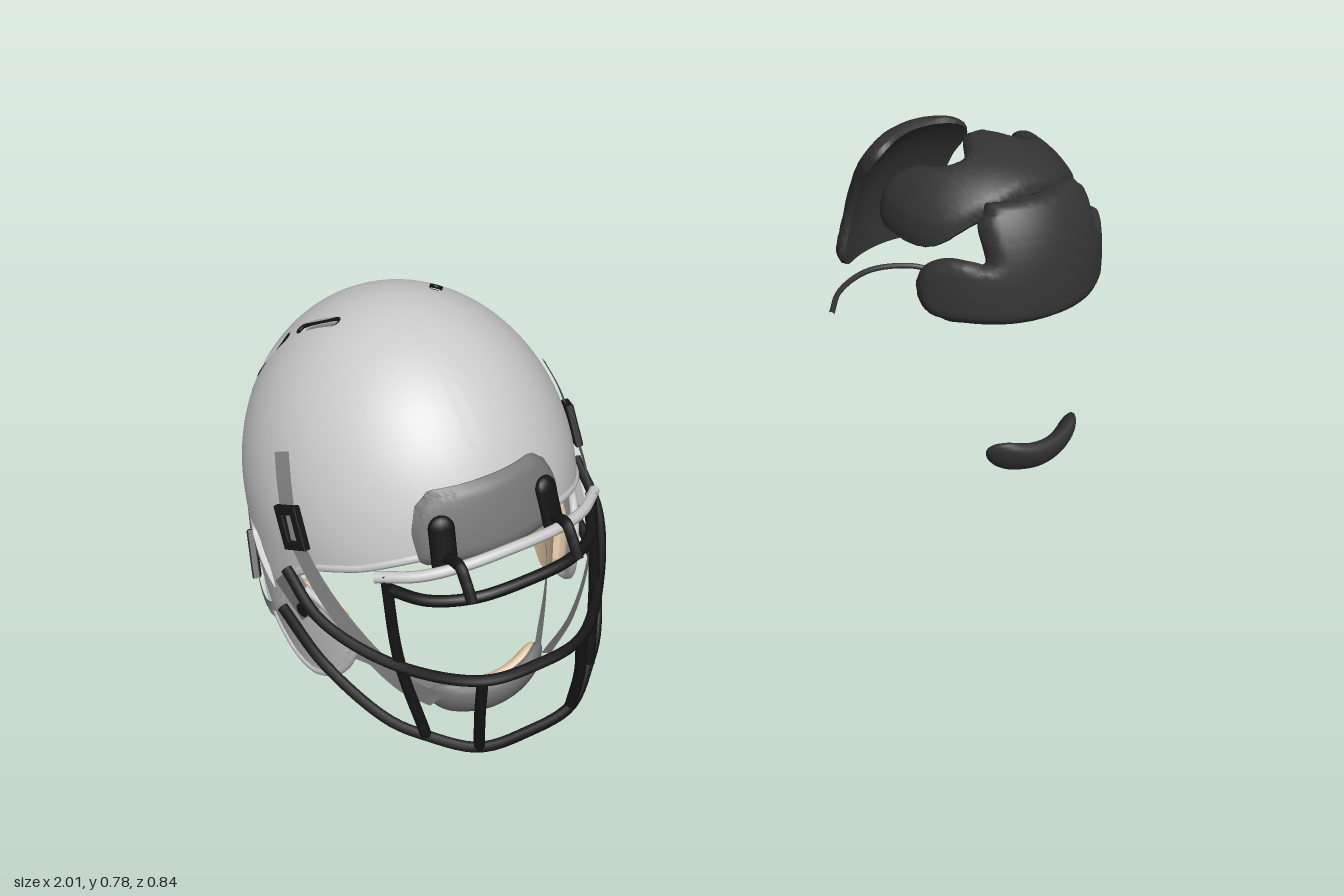
import * as THREE from 'three';
import { toCreasedNormals } from 'three/addons/utils/BufferGeometryUtils.js';

const V = (x, y, z) => new THREE.Vector3(x, y, z);
const clamp = THREE.MathUtils.clamp;
const mat = (color, side = THREE.FrontSide) => new THREE.MeshStandardMaterial({ color, side });
const GREY = mat(0xcccccc), SHADE = mat(0x777777), STRAP = mat(0x888888, THREE.DoubleSide);
const BLACK = mat(0x151515), FOAM = mat(0x333333), TAN = mat(0xeed3b0), TRIM = mat(0xd8d8d8);

function add(group, name, geometry, material) {
  const mesh = new THREE.Mesh(geometry, material);
  mesh.name = name;
  group.add(mesh);
  return mesh;
}

// Dome: half ellipsoid above y = 0.4 (e above 2 makes it squarer), gently narrowing wall below
const CY = 0.4, CZ = -0.062;
const SHELL = { rx: 0.312, rz: 0.355, h: 0.38, e: 2 };
const sized = (s) => ({ rx: SHELL.rx * s, rz: SHELL.rz * s, h: SHELL.h * s, e: 2 });
const widthAt = (y, d) => y > CY
  ? Math.max(0, 1 - ((y - CY) / d.h) ** d.e) ** (1 / d.e)
  : 1 - 0.09 * ((CY - y) / 0.33) ** 2;
function domePoint(a, v, d) {
  const y = v < 0.6 ? CY + d.h * Math.cos(v / 0.6 * Math.PI / 2) : CY - 0.34 * (v - 0.6) / 0.4;
  const k = v === 0 ? 0 : widthAt(y, d);
  return V(d.rx * k * Math.sin(a), y, CZ + d.rz * k * Math.cos(a));
}
// Point of the shell's +x side that lies at a given z and y
function onShell(z, y, off = 0) {
  const k = widthAt(y, SHELL), c = clamp((z - CZ) / (SHELL.rz * k), -1, 1);
  const s = Math.sqrt(1 - c * c);
  return V((SHELL.rx * k + off) * s, y, CZ + (SHELL.rz * k + off) * c);
}
const outward = (p) => V(p.x / SHELL.rx ** 2, Math.max(0, p.y - CY) / SHELL.h ** 2, (p.z - CZ) / SHELL.rz ** 2).normalize();

// Signed distance to a polygon, positive inside
function inside(poly, x, y) {
  let d = Infinity, hit = false;
  for (let i = 0, j = poly.length - 1; i < poly.length; j = i++) {
    const [ax, ay] = poly[i], [bx, by] = poly[j], ex = bx - ax, ey = by - ay;
    const t = clamp(((x - ax) * ex + (y - ay) * ey) / (ex * ex + ey * ey || 1), 0, 1);
    d = Math.min(d, Math.hypot(x - ax - ex * t, y - ay - ey * t));
    if ((ay > y) !== (by > y) && x < ex * (y - ay) / ey + ax) hit = !hit;
  }
  return hit ? d : -d;
}
const smooth = (pts, n = 40) => new THREE.SplineCurve(pts.map(([a, b]) => new THREE.Vector2(a, b)))
  .getPoints(n).map((p) => [p.x, p.y]);

// Thick piece of the dome, kept where field > 0; puff rounds its edge
function domePatch(field, outer, inner, puff = 0, nu = 144, nv = 80) {
  const grid = [], out = [];
  for (let j = 0; j <= nv; j++) for (let i = 0; i <= nu; i++) {
    const a = i / nu * Math.PI * 2, o = domePoint(a, j / nv, outer), n = domePoint(a, j / nv, inner);
    const f = field(o);
    if (puff) o.lerp(n, 0.75 * (1 - Math.sqrt(clamp(f / puff, 0, 1))));
    grid.push({ o, n, f });
  }
  const tri = (a, b, c) => out.push(...a.toArray(), ...b.toArray(), ...c.toArray());
  const clip = (t) => {
    const poly = [];
    let exit, entry;
    t.forEach((p, i) => {
      const q = t[(i + 1) % 3];
      if (p.f > 0) poly.push(p);
      if ((p.f > 0) === (q.f > 0)) return;
      const s = p.f / (p.f - q.f), m = { o: p.o.clone().lerp(q.o, s), n: p.n.clone().lerp(q.n, s) };
      poly.push(m);
      if (p.f > 0) exit = m; else entry = m;
    });
    for (let i = 2; i < poly.length; i++) {
      tri(poly[0].o, poly[i - 1].o, poly[i].o);
      tri(poly[0].n, poly[i].n, poly[i - 1].n);
    }
    if (exit) {
      tri(entry.o, exit.o, exit.n);
      tri(entry.o, exit.n, entry.n);
    }
  };
  for (let j = 0; j < nv; j++) for (let i = 0; i < nu; i++) {
    const [a, b, c, d] = [0, 1, nu + 1, nu + 2].map((k) => grid[j * (nu + 1) + i + k]);
    clip([a, c, d]);
    if (j) clip([a, d, b]);
  }
  const g = new THREE.BufferGeometry();
  g.setAttribute('position', new THREE.Float32BufferAttribute(out, 3));
  return toCreasedNormals(g, 0.7);
}
const onFront = (poly) => (p) => p.z < 0 ? -1 : inside(poly, Math.abs(p.x), p.y);
const onBack = (poly) => (p) => p.z > -0.1 ? -1 : inside(poly, Math.abs(p.x), p.y);

const tube = (pts, r, n = 40, closed = false) => new THREE.TubeGeometry(new THREE.CatmullRomCurve3(pts, closed), n, r, 8, closed);
// Bar mirrored across the middle; the last point lies at x = 0
const bar = (half, r = 0.011) => {
  const p = half.map((q) => V(...q));
  return tube([...p, ...p.slice(0, -1).reverse().map((q) => V(-q.x, q.y, q.z))], r, 64);
};
// Flat band that faces away from the middle of the head
function ribbon(pts, width) {
  const curve = new THREE.CatmullRomCurve3(pts), pos = [], idx = [], n = 32;
  for (let i = 0; i <= n; i++) {
    const p = curve.getPoint(i / n);
    const s = curve.getTangent(i / n).cross(outward(p)).normalize().multiplyScalar(width / 2);
    pos.push(...p.clone().add(s).toArray(), ...p.clone().sub(s).toArray());
    if (i) idx.push(2 * i - 2, 2 * i - 1, 2 * i, 2 * i, 2 * i - 1, 2 * i + 1);
  }
  const g = new THREE.BufferGeometry();
  g.setAttribute('position', new THREE.Float32BufferAttribute(pos, 3));
  g.setIndex(idx);
  g.computeVertexNormals();
  return g;
}
// Bean shape along x, its ends bent backwards and up
function bean(r, length, depth, bend) {
  const g = new THREE.CapsuleGeometry(r, length, 10, 20, 14).rotateZ(Math.PI / 2).scale(1, 1, depth);
  const p = g.attributes.position;
  for (let i = 0; i < p.count; i++) p.setZ(i, p.getZ(i) - bend * p.getX(i) ** 2);
  g.computeVertexNormals();
  return g.rotateX(0.5);
}
function frame(w, h, t, depth) {
  const rect = (P, a, b) => new P([[-a, -b], [a, -b], [a, b], [-a, b]].map(([x, y]) => new THREE.Vector2(x, y)));
  const s = rect(THREE.Shape, w / 2, h / 2);
  s.holes.push(rect(THREE.Path, w / 2 - t, h / 2 - t));
  return new THREE.ExtrudeGeometry(s, { depth, bevelEnabled: true, bevelSize: 0.003, bevelThickness: 0.003, bevelSegments: 2 });
}
function placed(group, name, geometry, material, p, roll = 0) {
  const m = add(group, name, geometry, material);
  m.position.copy(p);
  m.lookAt(p.clone().add(outward(p)));
  m.rotateZ(roll);
}

function buildHelmet() {
  const helmet = new THREE.Group();
  helmet.name = 'helmet';
  // Shell with face opening, ear holes and vents
  const edge = smooth([[0.3, 0.455], [0.25, 0.443], [0.18, 0.412], [0.1, 0.385], [0.04, 0.345], [0.035, 0.315], [0.09, 0.3],
    [0.135, 0.25], [0.14, 0.2], [0.1, 0.13], [0.04, 0.088], [0, 0.08], [-0.05, 0.092], [-0.12, 0.132], [-0.31, 0.188], [-0.42, 0.21]], 90);
  const open = [[0.6, 0.46], ...edge, [-0.6, 0.21], [-0.6, -0.3], [0.6, -0.3]];
  const ear = smooth([[-0.055, 0.243], [-0.058, 0.29], [-0.08, 0.34], [-0.12, 0.36], [-0.165, 0.35], [-0.183, 0.325], [-0.185, 0.3]], 24);
  const slots = [[[-0.1, 0.755], [-0.17, 0.718]], [[-0.205, 0.685], [-0.25, 0.605]], [[-0.272, 0.55], [-0.285, 0.46]]]
    .map((s) => s.map(([z, y]) => onShell(z, y)));
  const near = V();
  const shellField = ({ x, y, z }) => {
    const p = V(Math.abs(x), y, z);
    let f = Math.min(-inside(open, z, y), -inside(ear, z, y));
    for (const [a, b] of slots) f = Math.min(f, new THREE.Line3(a, b).closestPointToPoint(p, true, near).distanceTo(p) - 0.013);
    return f;
  };
  add(helmet, 'shell', domePatch(shellField, SHELL, sized(0.965), 0, 160, 100), GREY);
  // Bumpers and inner padding
  const brow = [[-0.1, 0.435], [0.15, 0.435], [0.155, 0.5], [0.14, 0.55], [0.11, 0.578], [-0.1, 0.582]];
  add(helmet, 'browBumper', domePatch(onFront(brow), sized(1.055), sized(0.99), 0.015), SHADE);
  const nape = [[-0.315, 0.188], [-0.335, 0.222], [-0.36, 0.268], [-0.385, 0.3], [-0.408, 0.325], [-0.6, 0.33], [-0.6, 0.205]];
  add(helmet, 'napeBumper', domePatch((p) => inside(nape, p.z, p.y), sized(1.015), sized(0.99)), SHADE);
  add(helmet, 'napeLip', bar([[0.195, 0.193, -0.325], [0.12, 0.207, -0.383], [0, 0.215, -0.41]], 0.009), BLACK);
  const browPad = [[-0.1, 0.43], [0.17, 0.43], [0.18, 0.48], [0.15, 0.53], [-0.1, 0.53]];
  add(helmet, 'innerBrowPad', domePatch(onFront(browPad), sized(0.96), sized(0.89), 0.02), TAN);
  const rearPad = [[-0.1, 0.33], [0.16, 0.33], [0.185, 0.37], [0.18, 0.43], [-0.1, 0.43]];
  add(helmet, 'innerRearPad', domePatch(onBack(rearPad), sized(0.96), sized(0.89), 0.02), TAN);
  const jaw = [[-0.045, 0.12], [0, 0.095], [0.045, 0.105], [0.11, 0.17], [0.11, 0.26], [0.03, 0.3], [-0.045, 0.26]];
  add(helmet, 'jawPads', domePatch((p) => inside(jaw, p.z, p.y), sized(0.955), sized(0.86), 0.02), TAN);

  // Everything that is the same on both sides
  const side = new THREE.Group();
  side.name = 'leftSide';
  add(side, 'edgeTrim', tube(edge.filter((_, i) => i % 3 === 0).map(([z, y]) => onShell(z, y, -0.004)), 0.009, 120), TRIM);
  add(side, 'jawRidge', tube([[0.1, 0.385], [0.04, 0.342], [0, 0.292], [-0.03, 0.235]].map(([z, y]) => onShell(z, y, -0.002)), 0.008), TRIM);
  slots.forEach(([a, b], i) => {
    const n = outward(a.clone().lerp(b, 0.5)), d = b.clone().sub(a).normalize(), s = d.clone().cross(n);
    const rim = [0, 1, 2, 3, 4, 5, 6, 7, 8, 9].map((k) => {
      const t = (k < 5 ? k : k - 1) / 4 * Math.PI;
      return (k < 5 ? b : a).clone().addScaledVector(d, 0.012 * Math.sin(t)).addScaledVector(s, 0.012 * Math.cos(t)).addScaledVector(n, -0.005);
    });
    add(side, 'ventRim' + (i + 1), tube(rim, 0.004, 48, true), BLACK);
  });
  const up = [[-0.005, 0.585], [0.025, 0.53], [0.052, 0.46]].map(([z, y]) => onShell(z, y, 0.008));
  add(side, 'upperStrap', ribbon([...up, V(0.29, 0.37, 0.125), V(0.245, 0.25, 0.195), V(0.18, 0.14, 0.225), V(0.12, 0.075, 0.225)], 0.042), STRAP);
  const low = [[-0.28, 0.34], [-0.2, 0.23], [-0.135, 0.146]].map(([z, y]) => onShell(z, y, 0.008));
  add(side, 'lowerStrap', ribbon([...low, V(0.27, 0.15, -0.08), V(0.245, 0.145, 0.02), V(0.19, 0.13, 0.11), V(0.11, 0.085, 0.21)], 0.042), STRAP);
  placed(side, 'upperBuckle', frame(0.052, 0.08, 0.011, 0.01), BLACK, onShell(0.055, 0.46, 0.004), -0.35);
  placed(side, 'lowerBuckle', frame(0.06, 0.09, 0.012, 0.01), BLACK, onShell(-0.2, 0.23, 0.004), -0.6);
  placed(side, 'maskClip', new THREE.BoxGeometry(0.09, 0.045, 0.025), SHADE, onShell(0.045, 0.3, 0.006), 0.75);
  const bolt = new THREE.CylinderGeometry(0.014, 0.016, 0.02, 16).rotateX(Math.PI / 2);
  placed(side, 'maskBolt', bolt, BLACK, onShell(0.065, 0.28, 0.012));
  placed(side, 'napeBolt', bolt, SHADE, onShell(-0.36, 0.245, 0.004));
  // Clips that hold the mask to the brow
  placed(side, 'browClip', new THREE.CapsuleGeometry(0.024, 0.07, 6, 12).scale(1, 1, 0.6), BLACK, V(0.11, 0.482, 0.288));
  add(side, 'browHook', tube([V(0.11, 0.418, 0.386), V(0.11, 0.448, 0.37), V(0.11, 0.474, 0.35), V(0.11, 0.468, 0.32), V(0.11, 0.455, 0.285)], 0.011), BLACK);
  // Upright mask bars
  add(side, 'outerUpright', tube([V(0.215, 0.45, 0.262), V(0.21, 0.25, 0.27), V(0.18, 0.065, 0.288)], 0.011), BLACK);
  add(side, 'innerUpright', tube([V(0.105, 0.235, 0.392), V(0.108, 0.14, 0.375), V(0.1, 0.035, 0.345)], 0.011), BLACK);
  const other = side.clone();
  other.name = 'rightSide';
  other.scale.x = -1;
  helmet.add(side, other);

  // Cross bars of the mask
  const bars = [
    [[0.215, 0.412, 0.255], [0.17, 0.412, 0.33], [0.1, 0.418, 0.378], [0, 0.42, 0.39]],
    [[0.23, 0.44, 0.25], [0.17, 0.45, 0.305], [0.1, 0.46, 0.335], [0, 0.465, 0.345]],
    [[0.314, 0.36, 0.04], [0.3, 0.3, 0.14], [0.22, 0.245, 0.27], [0.105, 0.235, 0.39], [0, 0.235, 0.408]],
    [[0.314, 0.235, -0.01], [0.295, 0.175, 0.12], [0.23, 0.09, 0.235], [0.18, 0.062, 0.285], [0.1, 0.035, 0.345], [0, 0.03, 0.355]],
  ];
  bars.forEach((b, i) => add(helmet, 'maskBar' + (i + 1), bar(b), i === 1 ? TRIM : BLACK));
  // Chin cup with lining
  add(helmet, 'chinCup', bean(0.048, 0.155, 0.5, 3.2), SHADE).position.set(0, 0.046, 0.235);
  add(helmet, 'chinLining', bean(0.042, 0.14, 0.45, 3.2), TAN).position.set(0, 0.054, 0.222);
  return helmet;
}

function buildPads() {
  const pads = new THREE.Group();
  pads.name = 'paddingSet';
  // Front pad with rounded side wings, cut to its front and side outlines
  const front = smooth([[-0.1, 0.41], [0.1, 0.41], [0.21, 0.411], [0.31, 0.411], [0.31, 0.5], [0.3, 0.6],
    [0.185, 0.61], [0.165, 0.63], [0.158, 0.655], [0.13, 0.682], [0, 0.688], [-0.1, 0.688]]);
  const wing = smooth([[0.6, 0.408], [0.2, 0.408], [0.125, 0.412], [0.08, 0.432], [0.056, 0.485], [0.07, 0.537], [0.11, 0.564],
    [0.16, 0.562], [0.18, 0.558], [0.165, 0.595], [0.135, 0.645], [0.135, 0.66], [0.15, 0.72], [0.6, 0.72]], 60);
  add(pads, 'frontPad', domePatch((p) => Math.min(inside(front, Math.abs(p.x), p.y), inside(wing, p.z, p.y)),
    { rx: 0.288, rz: 0.315, h: 0.36, e: 2.5 }, { rx: 0.256, rz: 0.276, h: 0.325, e: 2.5 }, 0.018), FOAM);
  // Rear pad with a waist
  const rear = smooth([[-0.1, 0.325], [0.1, 0.325], [0.165, 0.332], [0.184, 0.37], [0.162, 0.42], [0.148, 0.48], [0.15, 0.56], [0.155, 0.61],
    [0.14, 0.655], [0.08, 0.685], [-0.1, 0.69]]);
  add(pads, 'rearPad', domePatch(onBack(rear), { rx: 0.31, rz: 0.325, h: 0.385, e: 2 }, { rx: 0.283, rz: 0.29, h: 0.355, e: 2 }, 0.02), FOAM);
  // Crown pad with two lobes and a middle tongue
  const crown = smooth([[-0.04, -0.085], [0.015, -0.085], [0.045, -0.055], [0.08, -0.012], [0.125, -0.03], [0.15, -0.09], [0.185, -0.135],
    [0.22, -0.135], [0.238, -0.09], [0.235, 0], [0.2, 0.075], [0.12, 0.125], [0.05, 0.14], [-0.04, 0.14]]);
  add(pads, 'crownPad', domePatch((p) => p.y < 0.5 ? -1 : inside(crown, Math.abs(p.x), p.z),
    { rx: 0.257, rz: 0.3, h: 0.335, e: 2.5 }, { rx: 0.235, rz: 0.275, h: 0.305, e: 2.5 }, 0.02), FOAM);
  // Nape strip and chin pad
  add(pads, 'napeStrip', bar([[0.175, 0.192, -0.33], [0.11, 0.208, -0.383], [0, 0.217, -0.41]], 0.007), FOAM);
  add(pads, 'chinPad', bean(0.047, 0.16, 0.5, 3.2), FOAM).position.set(0, 0.046, 0.238);
  return pads;
}

export function createModel() {
  const model = new THREE.Group();
  model.name = 'helmetWithPadding';
  const helmet = buildHelmet(), pads = buildPads();
  helmet.position.x = -0.68;
  pads.position.x = 0.745;
  model.add(helmet, pads);
  return model;
}
